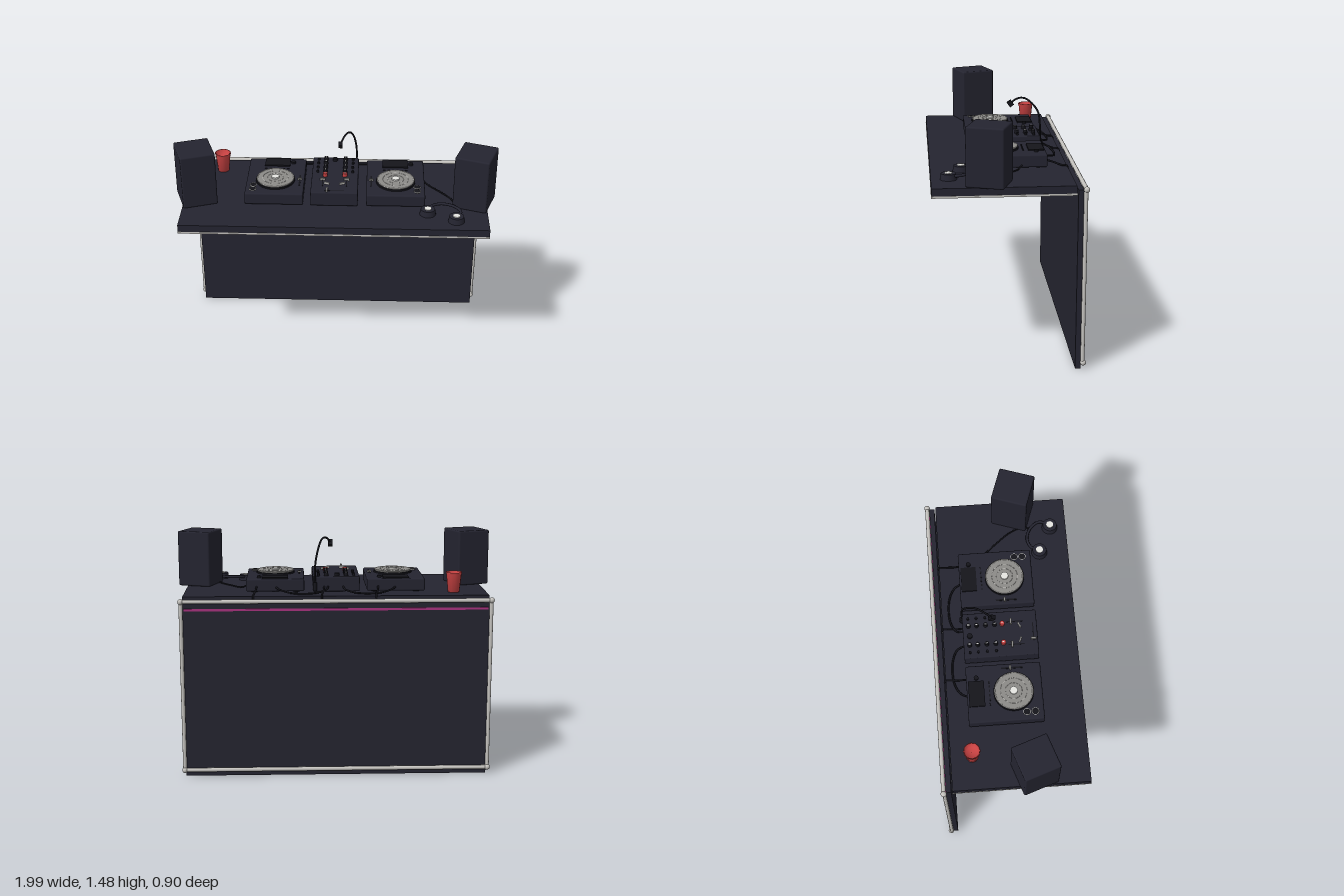
import * as THREE from 'three';
import { RoundedBoxGeometry } from 'three/addons/geometries/RoundedBoxGeometry.js';

const mat = (name, color, side = THREE.FrontSide) => {
  const m = new THREE.MeshStandardMaterial({ color, side });
  m.name = name;
  return m;
};

export function createModel() {
  const root = new THREE.Group();
  root.name = 'djBooth';
  const dark = mat('charcoal', 0x242430);
  const black = mat('black', 0x15151b);
  const silver = mat('silver', 0xc4c2be);
  const gray = mat('platterGray', 0x8c8b88);
  const white = mat('white', 0xe6e6e2);
  const red = mat('red', 0xc84242, THREE.DoubleSide);
  const magenta = mat('magenta', 0xa8337f);

  const add = (name, geo, m, x = 0, y = 0, z = 0, parent = root) => {
    const mesh = new THREE.Mesh(geo, m);
    mesh.name = name;
    mesh.position.set(x, y, z);
    parent.add(mesh);
    return mesh;
  };
  const box = (name, w, h, d, m, x, y, z, parent) =>
    add(name, new THREE.BoxGeometry(w, h, d), m, x, y, z, parent);
  const cyl = (name, r, h, m, x, y, z, parent, seg = 16, rBottom = r) =>
    add(name, new THREE.CylinderGeometry(r, rBottom, h, seg), m, x, y, z, parent);
  const tube = (name, pts, r, m = black) =>
    add(name, new THREE.TubeGeometry(
      new THREE.CatmullRomCurve3(pts.map(p => new THREE.Vector3(...p))), 32, r, 8), m);
  const ring = (name, r, t, m, x, y, z, parent) => {
    const mesh = add(name, new THREE.TorusGeometry(r, t, 6, 28), m, x, y, z, parent);
    mesh.rotation.x = Math.PI / 2;
    return mesh;
  };

  // Table top with light underside plate
  const TOP = 1.13;
  box('tableTop', 1.88, 0.045, 0.826, dark, 0, 1.1075, 0.037);
  box('tableUnderside', 1.884, 0.012, 0.83, silver, 0, 1.079, 0.037);

  // Front facade panel with its tubular frame
  box('facadePanel', 1.88, 1.105, 0.032, dark, 0, 0.5525, -0.4);
  box('facadeStripe', 1.86, 0.014, 0.006, magenta, 0, 1.055, -0.418);
  const FX = 0.947, FZ = -0.43, Y0 = 0.042, Y1 = 1.108;
  for (const y of [Y0, Y1]) {
    cyl('frameRail', 0.013, FX * 2, silver, 0, y, FZ, root, 12).rotation.z = Math.PI / 2;
    for (const s of [-1, 1])
      add('frameBall', new THREE.SphereGeometry(0.018, 16, 12), silver, s * FX, y, FZ);
  }
  for (const s of [-1, 1])
    cyl('framePost', 0.012, Y1 - Y0, silver, s * FX, (Y0 + Y1) / 2, FZ + 0.004, root, 12);

  // Angled speakers
  for (const s of [-1, 1]) {
    const sp = add('speaker', new RoundedBoxGeometry(0.215, 0.35, 0.225, 3, 0.01), dark,
      s * 0.862, TOP + 0.175, 0.118);
    sp.rotation.y = -s * 0.33;
  }

  // Turntable decks
  for (const s of [-1, 1]) {
    const deck = new THREE.Group();
    deck.name = 'deck';
    deck.position.set(s * 0.376, TOP, 0);
    root.add(deck);
    add('deckBase', new RoundedBoxGeometry(0.362, 0.078, 0.455, 2, 0.01), dark, 0, 0.047, -0.024, deck);
    for (const fx of [-0.13, 0.13])
      for (const fz of [-0.2, 0.15]) cyl('deckFoot', 0.02, 0.01, black, fx, 0.005, fz, deck, 12);
    // Screen, platter, hub
    box('deckScreen', 0.16, 0.008, 0.095, black, 0, 0.09, -0.193, deck);
    cyl('platterBase', 0.122, 0.012, black, 0, 0.09, 0.03, deck, 40);
    cyl('platter', 0.113, 0.014, gray, 0, 0.098, 0.03, deck, 40);
    ring('platterRim', 0.114, 0.004, silver, 0, 0.103, 0.03, deck);
    for (const r of [0.05, 0.08]) ring('platterGroove', r, 0.0012, silver, 0, 0.105, 0.03, deck);
    cyl('platterHub', 0.025, 0.01, white, 0, 0.109, 0.03, deck, 8);
    // Play and cue buttons, pitch slider, knob and pads
    for (const z of [0.1, 0.15]) {
      cyl('playButton', 0.02, 0.006, black, s * 0.133, 0.088, z, deck);
      ring('playButtonRing', 0.021, 0.002, white, s * 0.133, 0.09, z, deck);
    }
    box('pitchSlot', 0.01, 0.003, 0.13, black, -s * 0.152, 0.087, 0.03, deck);
    box('pitchSlider', 0.026, 0.01, 0.012, gray, -s * 0.152, 0.092, 0.02, deck);
    cyl('browseKnob', 0.014, 0.014, black, 0.1, 0.092, -0.19, deck);
    for (let i = 0; i < 6; i++)
      box('deckPad', 0.014, 0.005, 0.008, black, -0.07 + i * 0.028, 0.087, -0.115, deck);
  }

  // Mixer with knobs and faders
  const mixer = new THREE.Group();
  mixer.name = 'mixer';
  mixer.position.set(-0.004, TOP, 0);
  root.add(mixer);
  add('mixerBody', new RoundedBoxGeometry(0.292, 0.094, 0.455, 2, 0.008), dark, 0, 0.053, -0.024, mixer);
  for (const s of [-1, 1]) {
    for (const z of [-0.215, -0.165, -0.11, -0.055]) {
      cyl('mixerKnob', 0.012, 0.022, black, s * 0.062, 0.111, z, mixer, 12, 0.014);
      box('knobMark', 0.005, 0.003, 0.014, white, s * 0.062, 0.123, z, mixer);
      cyl('sideKnob', 0.008, 0.014, black, s * 0.11, 0.106, z, mixer, 12);
    }
    cyl('redKnob', 0.015, 0.022, red, s * 0.062, 0.111, -0.008, mixer, 12);
    box('redKnobMark', 0.005, 0.003, 0.012, white, s * 0.062, 0.123, -0.01, mixer);
    box('levelFader', 0.036, 0.016, 0.012, gray, s * 0.075, 0.107, 0.045, mixer);
    box('faderSlot', 0.006, 0.003, 0.1, black, s * 0.075, 0.1, 0.07, mixer);
    box('curveSwitch', 0.034, 0.014, 0.008, silver, s * 0.048, 0.106, 0.096, mixer).rotation.y = s * 0.4;
  }
  box('crossfaderSlot', 0.12, 0.003, 0.006, black, 0, 0.1, 0.178, mixer);
  box('crossfader', 0.012, 0.016, 0.034, gray, -0.045, 0.107, 0.178, mixer);
  cyl('masterKnob', 0.016, 0.018, black, -0.005, 0.108, -0.21, mixer, 12);

  // Gooseneck lamp
  tube('lampNeck', [[0.128, 1.17, -0.25], [0.127, 1.3, -0.25], [0.112, 1.385, -0.236],
    [0.085, 1.452, -0.175], [0.062, 1.46, -0.135], [0.04, 1.44, -0.095], [0.03, 1.42, -0.075]], 0.006);
  cyl('lampSocket', 0.012, 0.05, black, 0.128, 1.17, -0.255, root, 12);
  const head = box('lampHead', 0.026, 0.036, 0.03, black, 0.028, 1.417, -0.072);
  head.rotation.x = 0.6;

  // Red cup, open at the top
  const cup = [[0, 0], [0.036, 0], [0.048, 0.115], [0.051, 0.117], [0.051, 0.125],
    [0.046, 0.125], [0.035, 0.09], [0, 0.09]];
  add('cup', new THREE.LatheGeometry(cup.map(p => new THREE.Vector2(...p)), 12), red, -0.737, TOP, -0.245);

  // Headphones lying on the table
  for (const [x, z] of [[0.572, 0.267], [0.743, 0.347]]) {
    cyl('earCup', 0.044, 0.036, dark, x, TOP + 0.018, z, root, 20, 0.05);
    cyl('earCupCap', 0.023, 0.006, white, x, TOP + 0.038, z, root, 10);
  }
  tube('headband', [[0.572, 1.15, 0.267], [0.6, 1.157, 0.215], [0.66, 1.16, 0.195],
    [0.735, 1.16, 0.225], [0.772, 1.157, 0.285], [0.743, 1.15, 0.347]], 0.009, dark);
  tube('headphoneCable', [[0.55, 1.155, -0.1], [0.59, 1.137, -0.07], [0.66, 1.136, 0.01],
    [0.72, 1.136, 0.09], [0.75, 1.136, 0.17], [0.735, 1.145, 0.225]], 0.005);

  // Signal cables between decks and mixer, power cables over the rear edge
  for (const s of [-1, 1]) {
    tube('signalCable', [[s * 0.375, 1.165, -0.24], [s * 0.345, 1.155, -0.29], [s * 0.27, 1.14, -0.325],
      [s * 0.13, 1.14, -0.325], [s * 0.06, 1.155, -0.29], [s * 0.045, 1.17, -0.24]], 0.006);
  }
  for (const x of [-0.265, 0.07, 0.49])
    tube('powerCable', [[x, 1.17, -0.24], [x + 0.005, 1.155, -0.29], [x + 0.015, 1.138, -0.34],
      [x + 0.018, 1.134, -0.372], [x + 0.018, 1.1, -0.382]], 0.006);

  // Cable loops hanging below the table
  for (const s of [-1, 1]) {
    const loop = add('hangingLoop', new THREE.TorusGeometry(0.066, 0.007, 8, 24, Math.PI), dark,
      s * 0.044, 1.08, 0.1);
    loop.rotation.set(0, s * 0.3, Math.PI);
  }
  return root;
}
